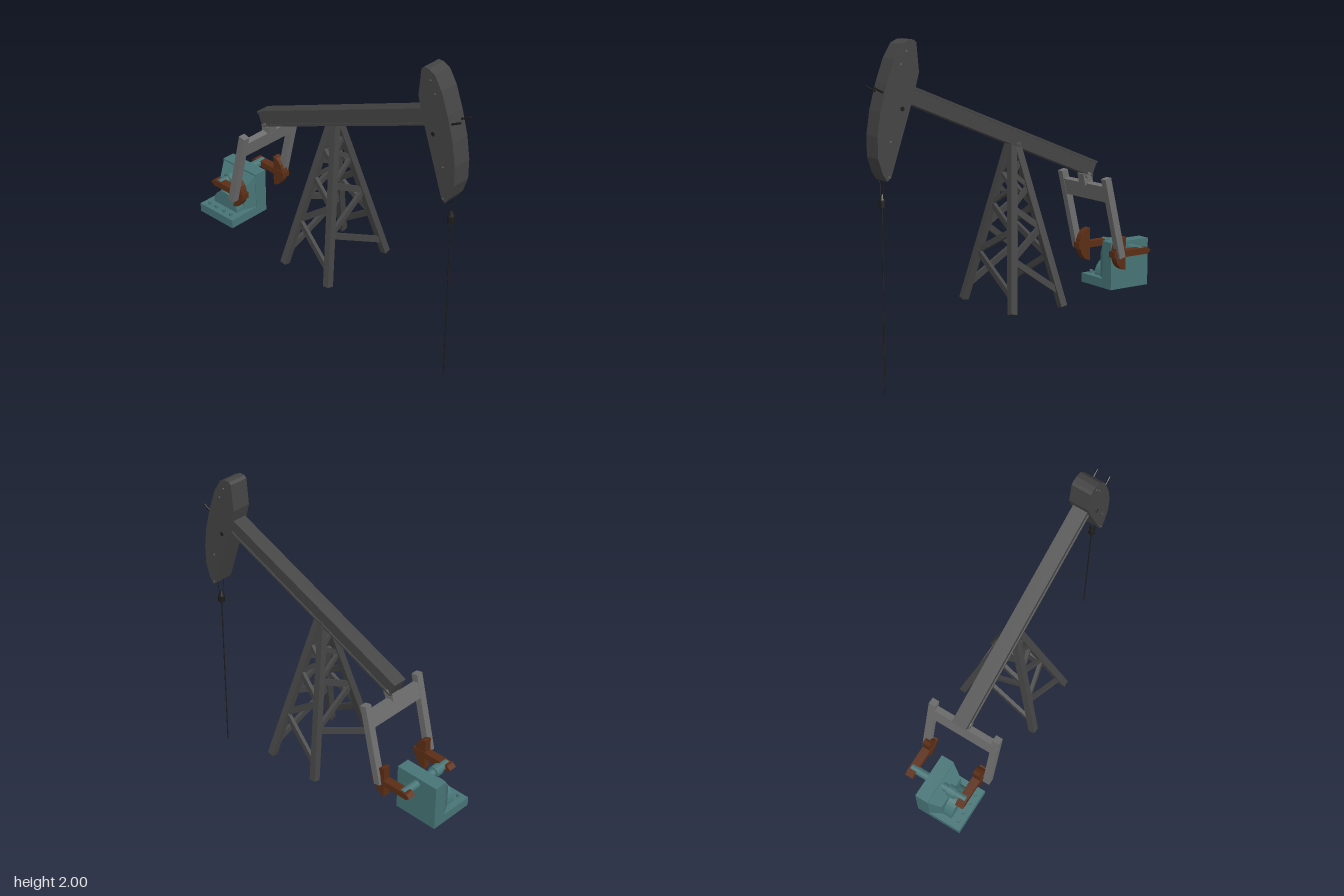
import * as THREE from 'three';

const V = (x, y, z) => new THREE.Vector3(x, y, z);
const paint = (color) => new THREE.MeshStandardMaterial({ color, flatShading: true });

export function createModel() {
  const model = new THREE.Group();
  const steel = paint(0x444444), dark = paint(0x1c1c1c), grey = paint(0x6e6e6e);
  const teal = paint(0x477476), rust = paint(0x5c2e16);

  const group = (name) => {
    const g = new THREE.Group();
    g.name = name;
    model.add(g);
    return g;
  };
  const add = (parent, name, geometry, material, x = 0, y = 0, z = 0) => {
    const mesh = new THREE.Mesh(geometry, material);
    mesh.name = name;
    mesh.position.set(x, y, z);
    parent.add(mesh);
    return mesh;
  };
  const box = (parent, name, mat, x0, x1, y0, y1, z0, z1) =>
    add(parent, name, new THREE.BoxGeometry(x1 - x0, y1 - y0, z1 - z0), mat,
      (x0 + x1) / 2, (y0 + y1) / 2, (z0 + z1) / 2);

  // Bar from a to b; depth is measured along the hint direction, width across it
  const strut = (parent, name, mat, a, b, width, depth, hint) => {
    const dir = b.clone().sub(a);
    const mid = a.clone().add(b).multiplyScalar(0.5);
    const mesh = add(parent, name, new THREE.BoxGeometry(width, depth, dir.length()), mat, mid.x, mid.y, mid.z);
    const z = dir.normalize();
    const x = hint.clone().cross(z).normalize();
    mesh.quaternion.setFromRotationMatrix(new THREE.Matrix4().makeBasis(x, z.clone().cross(x), z));
    return mesh;
  };
  const rod = (parent, name, mat, a, b, r, sides = 8) => {
    const dir = b.clone().sub(a);
    const mid = a.clone().add(b).multiplyScalar(0.5);
    const mesh = add(parent, name, new THREE.CylinderGeometry(r, r, dir.length(), sides), mat, mid.x, mid.y, mid.z);
    mesh.quaternion.setFromUnitVectors(V(0, 1, 0), dir.normalize());
    return mesh;
  };
  // Flat outline in the front plane, extruded from z0 to z1
  const plate = (parent, name, mat, points, z0, z1) => {
    const shape = new THREE.Shape(points.map(([x, y]) => new THREE.Vector2(x, y)));
    return add(parent, name, new THREE.ExtrudeGeometry(shape, { depth: z1 - z0, bevelEnabled: false }), mat, 0, 0, z0);
  };

  // Tower: four leaning legs with zigzag braces on each face
  const tower = group('tower');
  const legAt = ([sx, sz], y) => {
    const s = 1 - (y - 0.42) / 0.95;
    return V(0.008 + sx * (0.013 + 0.166 * s), y, sz * (0.013 + 0.239 * s));
  };
  const corners = [[1, 1], [1, -1], [-1, -1], [-1, 1]];
  const normals = [V(1, 0, 0), V(0, 0, -1), V(-1, 0, 0), V(0, 0, 1)];
  const levels = [0.51, 0.72, 0.88, 1.01, 1.12, 1.2, 1.27];
  corners.forEach((c, i) => {
    strut(tower, 'towerLeg', steel, legAt(c, 0.42), legAt(c, 1.37), 0.042, 0.042, V(0, 0, 1));
    const next = corners[(i + 1) % 4];
    for (let k = 0; k < levels.length - 1; k++) {
      const [from, to] = k % 2 ? [c, next] : [next, c];
      strut(tower, 'towerBrace', steel, legAt(from, levels[k]), legAt(to, levels[k + 1]),
        k < 3 ? 0.036 : 0.026, 0.022, normals[i]);
    }
  });
  box(tower, 'towerCap', steel, -0.025, 0.04, 1.33, 1.385, -0.03, 0.03);

  // Walking beam: I-section tilted up towards the head
  const beam = group('walkingBeam');
  beam.position.set(0.075, 1.435, 0.006);
  beam.rotation.z = Math.atan2(0.53, 1.3);
  box(beam, 'beamWeb', steel, -0.7, 0.7, -0.038, 0.038, -0.038, 0.038);
  for (const s of [-1, 1]) {
    add(beam, 'beamFlange', new THREE.BoxGeometry(1.4, 0.014, 0.092), steel, 0, s * 0.042, 0);
  }

  // Curved head with pins and side bolts
  const head = group('horseHead');
  plate(head, 'headBlock', steel, [
    [0.69, 1.985], [0.675, 1.82], [0.705, 1.71], [0.86, 1.25], [0.885, 1.23], [0.912, 1.27], [0.942, 1.36],
    [0.943, 1.48], [0.922, 1.62], [0.88, 1.77], [0.832, 1.9], [0.782, 1.98], [0.74, 2], [0.705, 2],
  ].reverse(), -0.056, 0.066);
  for (const z of [-0.036, 0.046]) rod(head, 'headPin', dark, V(0.86, 1.702, z), V(0.952, 1.75, z), 0.006);
  for (const [x, y, r] of [[0.785, 1.625, 0.013], [0.755, 1.94, 0.005], [0.792, 1.87, 0.005], [0.862, 1.45, 0.005], [0.873, 1.255, 0.005]]) {
    rod(head, 'headBolt', r > 0.01 ? dark : grey, V(x, y, -0.059), V(x, y, 0.069), r);
  }

  // Hanging cables, clamp and polished rod
  const line = group('rodString');
  for (const s of [-1, 1]) {
    rod(line, 'cable', dark, V(0.885, 1.25, 0.004 + s * 0.025), V(0.885, 1.1, 0.004 + s * 0.012), 0.0025, 6);
  }
  add(line, 'clampBody', new THREE.CylinderGeometry(0.022, 0.022, 0.04, 8), dark, 0.885, 1.1, 0.004);
  add(line, 'clampTop', new THREE.CylinderGeometry(0.006, 0.02, 0.035, 8), dark, 0.885, 1.137, 0.004);
  rod(line, 'polishedRod', dark, V(0.885, 0, 0.004), V(0.885, 1.12, 0.004), 0.004, 6);

  // Gearbox: upright block, sloped front, round housing and bolted foot
  const gear = group('gearbox');
  box(gear, 'gearboxBlock', teal, -0.96, -0.67, 0.415, 0.71, -0.08, 0.005);
  box(gear, 'gearboxFoot', teal, -0.96, -0.67, 0.415, 0.472, 0, 0.215);
  const slope = new THREE.BoxGeometry(0.29, 0.235, 0.075);
  const p = slope.attributes.position;
  for (let i = 0; i < p.count; i++) {
    if (p.getZ(i) > 0) p.setXY(i, p.getX(i) * 0.72, p.getY(i) > 0 ? 0.03 : p.getY(i));
  }
  add(gear, 'gearboxSlope', slope, teal, -0.815, 0.5875, 0.0375);
  const arch = [];
  for (let i = 0; i <= 16; i++) {
    const a = (i / 16) * Math.PI;
    arch.push([-0.815 + 0.105 * Math.cos(a), 0.465 + 0.113 * Math.sin(a)]);
  }
  plate(gear, 'gearHousing', teal, arch, 0.04, 0.135);
  for (const x of [-0.91, -0.85, -0.78, -0.72]) {
    rod(gear, 'footBolt', teal, V(x, 0.465, 0.18), V(x, 0.492, 0.18), 0.011);
  }
  rod(gear, 'crankShaft', teal, V(-0.815, 0.665, -0.2), V(-0.815, 0.665, 0.18), 0.026, 16);
  rod(gear, 'shaftCollar', teal, V(-0.815, 0.665, 0.06), V(-0.815, 0.665, 0.11), 0.036, 16);

  // Cranks with half-round counterweights, one per side
  const weight = [];
  for (let i = 0; i <= 10; i++) {
    const a = (i / 10 - 0.5) * Math.PI;
    weight.push([-0.68 + 0.077 * Math.cos(a), 0.667 + 0.102 * Math.sin(a)]);
  }
  for (const [z0, z1, outer] of [[0.14, 0.192, 0.22], [-0.21, -0.158, -0.205]]) {
    const crank = group('crank');
    plate(crank, 'crankArm', rust, [
      [-0.875, 0.665], [-0.85, 0.645], [-0.592, 0.645], [-0.592, 0.683], [-0.85, 0.685],
    ], z0, z1);
    plate(crank, 'counterweight', rust, weight, z0 + 0.003, z1 - 0.003);
    rod(crank, 'crankPin', dark, V(-0.636, 0.668, (z0 + z1) / 2), V(-0.636, 0.668, outer), 0.015);
  }

  // Pitman arms, cross beam and the bearing under the walking beam
  const pitman = group('pitman');
  for (const z of [0.222, -0.204]) {
    strut(pitman, 'pitmanArm', grey, V(-0.643, 0.645, z), V(-0.525, 1.138, z), 0.044, 0.044, V(0, 0, 1));
  }
  strut(pitman, 'crossBeam', grey, V(-0.56, 0.993, 0.009), V(-0.537, 1.09, 0.009), 0.04, 0.385, V(0, 0, 1));
  strut(pitman, 'bearing', grey, V(-0.54, 1.08, 0.006), V(-0.525, 1.15, 0.006), 0.062, 0.06, V(0, 0, 1));
  rod(pitman, 'bearingPin', grey, V(-0.527, 1.135, -0.04), V(-0.527, 1.135, 0.052), 0.02, 12);

  return model;
}
